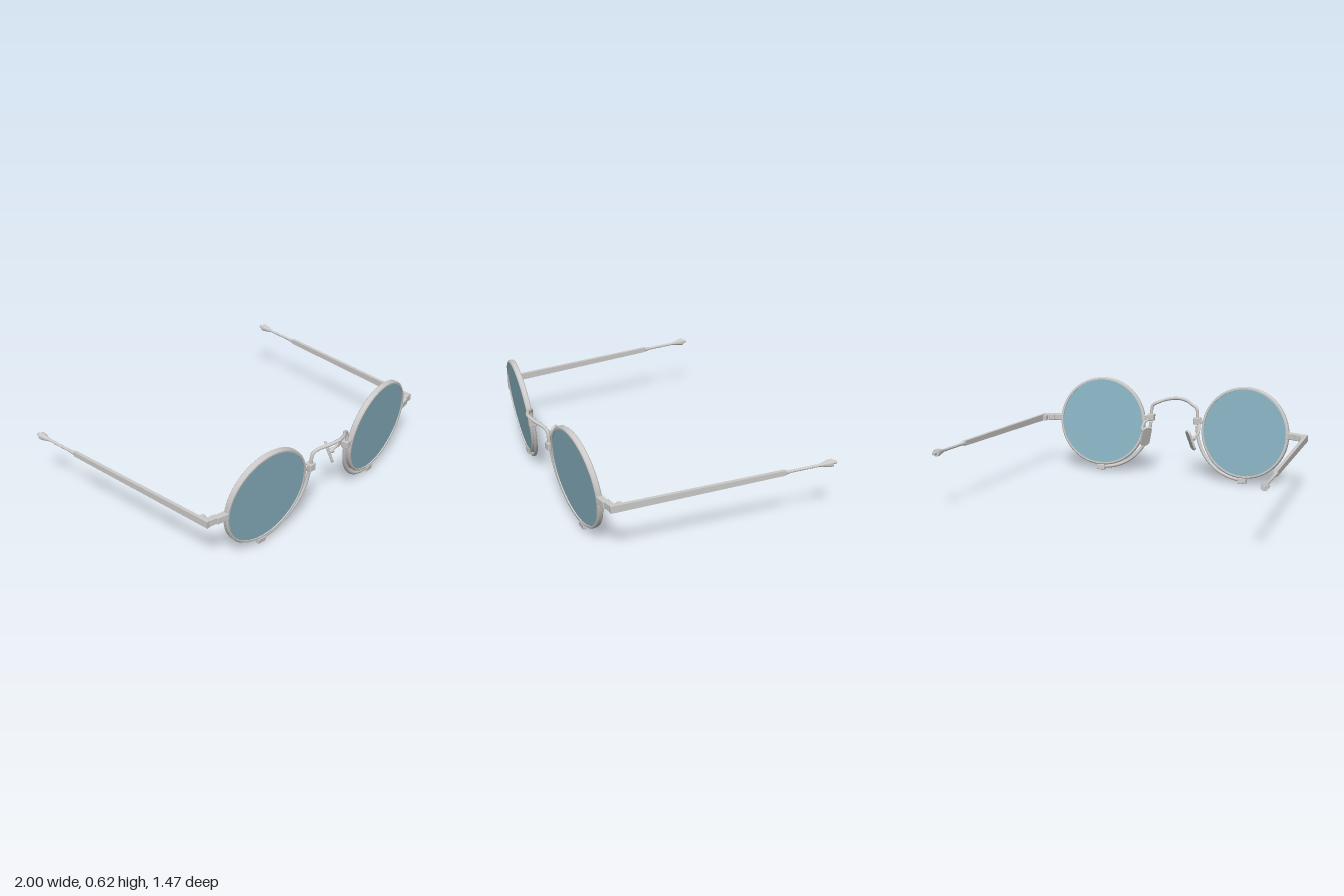
import * as THREE from 'three';
import { toCreasedNormals } from 'three/addons/utils/BufferGeometryUtils.js';
import { RoundedBoxGeometry } from 'three/addons/geometries/RoundedBoxGeometry.js';

const V = (x, y, z) => new THREE.Vector3(x, y, z);

export function createModel() {
  const model = new THREE.Group();
  const metal = new THREE.MeshStandardMaterial({ color: 0xcbcac8 });
  metal.name = 'silver metal';
  const glass = new THREE.MeshStandardMaterial({ color: 0x8ab4c4 });
  glass.name = 'blue glass';

  const add = (parent, name, geometry, material = metal) => {
    const mesh = new THREE.Mesh(geometry, material);
    mesh.name = name;
    parent.add(mesh);
    return mesh;
  };
  const block = (parent, name, size, pos) => {
    const mesh = add(parent, name, new RoundedBoxGeometry(...size, 2, 0.005));
    mesh.position.set(...pos);
    return mesh;
  };
  const wire = (parent, name, points, radius) =>
    add(parent, name, new THREE.TubeGeometry(new THREE.CatmullRomCurve3(points), 48, radius, 10));
  const lathe = (profile, segments) => toCreasedNormals(
    new THREE.LatheGeometry(profile.map(p => new THREE.Vector2(...p)), segments), 0.5);

  // Rounded nose pad outline
  const padShape = (w, h) => {
    const shape = new THREE.Shape();
    const r = w * 0.42, x = w / 2, y = h / 2;
    shape.moveTo(-x + r, -y);
    shape.lineTo(x - r, -y);
    shape.quadraticCurveTo(x, -y, x, -y + r);
    shape.lineTo(x, y - r);
    shape.quadraticCurveTo(x, y, x - r, y);
    shape.lineTo(-x + r, y);
    shape.quadraticCurveTo(-x, y, -x, y - r);
    shape.lineTo(-x, -y + r);
    shape.quadraticCurveTo(-x, -y, -x + r, -y);
    return shape;
  };

  for (const s of [1, -1]) {
    const side = new THREE.Group();
    side.name = s > 0 ? 'leftSide' : 'rightSide';
    model.add(side);

    // Tilted lens, rim and the wire running under it
    const eye = new THREE.Group();
    eye.name = 'lensAssembly';
    eye.position.set(s * 0.495, 0.335, 0.62);
    eye.rotation.set(0.115, s * 0.085, 0);
    side.add(eye);
    const rim = lathe([[0.28, -0.017], [0.29, -0.017], [0.296, -0.011], [0.296, 0.011],
      [0.29, 0.017], [0.28, 0.017], [0.28, -0.017]], 80);
    add(eye, 'rim', rim).rotation.x = Math.PI / 2;
    const lens = toCreasedNormals(new THREE.CylinderGeometry(0.283, 0.283, 0.02, 80), 0.5);
    add(eye, 'lens', lens, glass).rotation.x = Math.PI / 2;
    const underWire = add(eye, 'underWire', new THREE.TorusGeometry(0.328, 0.011, 10, 40, Math.PI / 2));
    underWire.position.set(-s * 0.005, 0.02, 0);
    underWire.rotation.z = s > 0 ? Math.PI : -Math.PI / 2;
    block(eye, 'lowerClamp', [0.055, 0.036, 0.036], [0, -0.312, 0]);

    // Clamp joining the bridge, the under wire and the nose pad arm
    block(side, 'bridgeClamp', [0.045, 0.045, 0.045], [s * 0.162, 0.38, 0.657]).rotation.y = s * 0.085;
    block(side, 'rimLug', [0.05, 0.03, 0.022], [s * 0.19, 0.378, 0.648]);

    // Nose pad on its bent arm
    wire(side, 'padArm', [V(s * 0.175, 0.365, 0.645), V(s * 0.192, 0.35, 0.605),
      V(s * 0.195, 0.315, 0.575), V(s * 0.172, 0.285, 0.55)], 0.008);
    const pad = add(side, 'nosePad', new THREE.ExtrudeGeometry(padShape(0.058, 0.132), {
      depth: 0.008, bevelThickness: 0.004, bevelSize: 0.004, bevelSegments: 2, curveSegments: 8,
    }).translate(0, 0, -0.004));
    const up = V(-s * 0.035, 0.13, -0.03).normalize();
    const across = V(s * 0.04, 0, -0.045);
    across.addScaledVector(up, -across.dot(up)).normalize();
    const out = across.clone().cross(up);
    pad.quaternion.setFromRotationMatrix(new THREE.Matrix4().makeBasis(across, up, out));
    pad.position.set(s * 0.155, 0.275, 0.54);
    const stud = add(side, 'padStud', new THREE.CylinderGeometry(0.016, 0.016, 0.024, 16));
    stud.quaternion.setFromUnitVectors(V(0, 1, 0), out);
    stud.position.set(s * 0.167, 0.285, 0.552);

    // End piece and hinge
    block(side, 'endPiece', [0.075, 0.042, 0.036], [s * 0.815, 0.345, 0.592]).rotation.y = s * 0.2;
    block(side, 'endCorner', [0.075, 0.042, 0.034], [s * 0.872, 0.345, 0.573]).rotation.y = s * 0.2;
    const hinge = add(side, 'hinge', toCreasedNormals(new THREE.CylinderGeometry(0.016, 0.016, 0.034, 16), 0.5));
    hinge.position.set(s * 0.886, 0.345, 0.526);
    block(side, 'hingePlate', [0.024, 0.03, 0.05], [s * 0.888, 0.345, 0.55]);

    // Temple bar, narrowing toward the back
    const start = V(s * 0.904, 0.344, 0.585), joint = V(s * 0.961, 0.372, -0.42);
    const length = start.distanceTo(joint);
    const bar = new THREE.BoxGeometry(0.02, 0.042, length);
    const p = bar.attributes.position;
    for (let i = 0; i < p.count; i++) if (p.getZ(i) > 0) p.setY(i, p.getY(i) * 0.7);
    bar.computeVertexNormals();
    const temple = add(side, 'temple', bar);
    temple.position.copy(start).lerp(joint, 0.5);
    temple.lookAt(joint);

    // Thin rear rod with a flared end and a small tip
    const end = V(s * 0.977, 0.379, -0.735);
    const rod = add(side, 'templeTip', lathe([[0, 0], [0.014, 0], [0.0085, 0.035], [0.0085, 0.21],
      [0.012, 0.23], [0.022, 0.272], [0.022, 0.29], [0.01, 0.292], [0.01, 0.316], [0, 0.316]], 16));
    rod.position.copy(joint);
    rod.quaternion.setFromUnitVectors(V(0, 1, 0), end.sub(joint).normalize());
  }

  // Arched bridge bowing forward
  const half = [[0.16, 0.385, 0.66], [0.16, 0.435, 0.662], [0.151, 0.464, 0.664],
    [0.12, 0.481, 0.675], [0.07, 0.498, 0.708]];
  wire(model, 'bridge', [
    ...half.map(([x, y, z]) => V(-x, y, z)), V(0, 0.506, 0.727),
    ...half.slice().reverse().map(q => V(...q)),
  ], 0.0105);

  return model;
}
